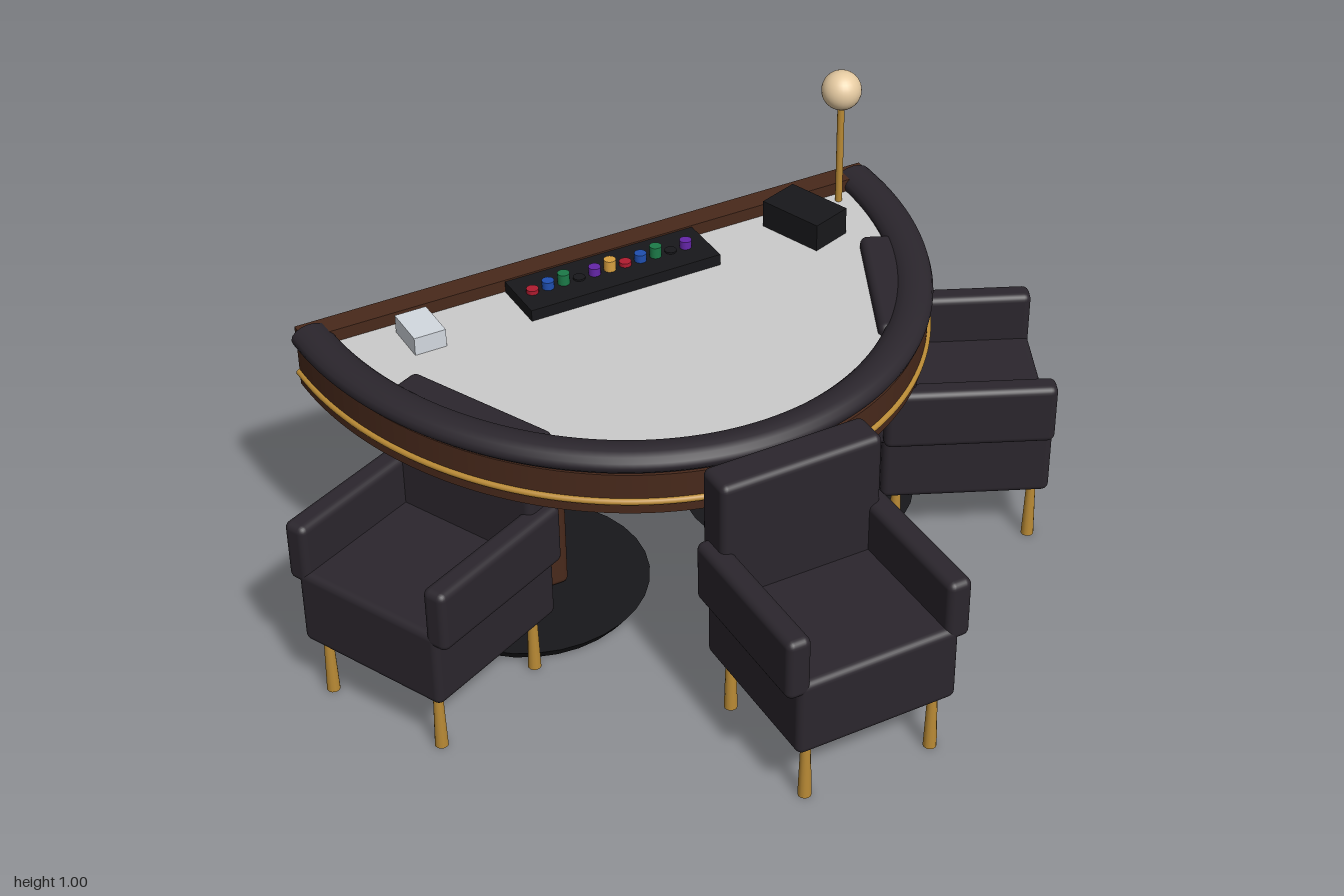
import * as THREE from 'three';
import { RoundedBoxGeometry } from 'three/addons/geometries/RoundedBoxGeometry.js';

const mat = (color) => new THREE.MeshStandardMaterial({ color });
const leather = mat(0x2b262d), wood = mat(0x48291b), gold = mat(0xb98a35);
const black = mat(0x18181b), grey = mat(0xcccccc);
const BACK = -0.67; // z of the table's straight edge

function add(parent, name, geometry, material, x = 0, y = 0, z = 0) {
  const mesh = new THREE.Mesh(geometry, material);
  mesh.name = name;
  mesh.position.set(x, y, z);
  parent.add(mesh);
  return mesh;
}

const padded = (w, h, d, r = 0.018) => new RoundedBoxGeometry(w, h, d, 3, r);

// Half-ellipse slab whose top lies at y = 0
function halfSlab(a, b, depth) {
  const shape = new THREE.Shape();
  shape.absellipse(0, BACK, a, b, 0, Math.PI, false);
  shape.closePath();
  return new THREE.ExtrudeGeometry(shape, { depth, bevelEnabled: false, curveSegments: 72 }).rotateX(Math.PI / 2);
}

// Tube following the curved edge of the table, squashed vertically
function edgeTube(a, b, radius, squash) {
  const points = [];
  for (let i = 0; i <= 32; i++) {
    const t = (i / 32) * Math.PI;
    points.push(new THREE.Vector3(a * Math.cos(t), 0, BACK + b * Math.sin(t)));
  }
  const path = new THREE.CatmullRomCurve3(points);
  return new THREE.TubeGeometry(path, 96, radius, 16).scale(1, squash, 1);
}

function makeTable() {
  const table = new THREE.Group();
  table.name = 'table';
  add(table, 'apron', halfSlab(0.778, 0.915, 0.105), wood, 0, 0.625, 0);
  add(table, 'playingSurface', halfSlab(0.712, 0.825, 0.01), grey, 0, 0.635, 0);
  add(table, 'goldTrim', edgeTube(0.778, 0.915, 0.009, 0.9), gold, 0, 0.553, 0);

  // Padded arm rail with closed ends
  add(table, 'armRail', edgeTube(0.744, 0.873, 0.047, 0.64), leather, 0, 0.646, 0);
  for (const s of [-1, 1]) {
    const cap = new THREE.CircleGeometry(0.047, 16).rotateY(Math.PI).scale(1, 0.64, 1);
    add(table, 'railEnd', cap, leather, s * 0.744, 0.646, BACK);
  }
  add(table, 'backBoard', new THREE.BoxGeometry(1.545, 0.05, 0.06), wood, 0, 0.642, -0.66);

  // Two pedestals on round bases
  for (const s of [-1, 1]) {
    add(table, 'pedestal', padded(0.148, 0.495, 0.15, 0.016), wood, s * 0.378, 0.283, -0.31);
    add(table, 'pedestalBase', new THREE.CylinderGeometry(0.295, 0.268, 0.035, 32), black, s * 0.378, 0.0175, -0.31);
  }
  return table;
}

function makeTableItems() {
  const items = new THREE.Group();
  items.name = 'tableItems';
  add(items, 'chipTray', new THREE.BoxGeometry(0.51, 0.033, 0.145), black, -0.003, 0.648, -0.555);

  // Row of chip stacks, five colours repeating with a gold one mid-row
  const red = mat(0xb01c30), blue = mat(0x1f4fb0), green = mat(0x1c7a48), purple = mat(0x6526a8);
  const yellow = mat(0xd8a040);
  const stacks = [red, blue, green, black, purple, yellow, red, blue, green, black, purple];
  const heights = [0.675, 0.685, 0.693, 0.669, 0.685, 0.693, 0.675, 0.685, 0.693, 0.669, 0.685];
  stacks.forEach((m, i) => {
    const h = heights[i] - 0.655;
    add(items, 'chipStack', new THREE.CylinderGeometry(0.015, 0.015, h, 16), m, -0.22 + i * 0.0415, 0.655 + h / 2, -0.555);
  });

  const shoe = add(items, 'cardDispenser', new THREE.BoxGeometry(0.112, 0.075, 0.175), black, 0.513, 0.669, -0.523);
  shoe.rotation.y = 0.33;
  add(items, 'discardBox', new THREE.BoxGeometry(0.08, 0.047, 0.112), mat(0xd3d9e0), -0.517, 0.658, -0.542);

  // Globe lamp
  add(items, 'lampPole', new THREE.CylinderGeometry(0.009, 0.009, 0.29, 14), gold, 0.66, 0.775, -0.602);
  add(items, 'lampGlobe', new THREE.SphereGeometry(0.05, 28, 18), mat(0xe6cba2), 0.66, 0.95, -0.602);
  return items;
}

// Armchair facing +z, centred on its footprint
function makeChair(name, x, z, turn) {
  const chair = new THREE.Group();
  chair.name = name;
  chair.position.set(x, 0, z);
  chair.rotation.y = turn;
  add(chair, 'seat', padded(0.41, 0.2, 0.415), leather, 0, 0.255, 0.0125);
  add(chair, 'backrest', padded(0.41, 0.345, 0.098), leather, 0, 0.49, -0.166);
  for (const s of [-1, 1]) {
    add(chair, 'armrest', padded(0.06, 0.158, 0.415), leather, s * 0.203, 0.402, 0.0125);
    for (const lz of [-0.152, 0.183]) {
      add(chair, 'chairLeg', new THREE.CylinderGeometry(0.011, 0.016, 0.165, 12), gold, s * 0.165, 0.0825, lz);
    }
  }
  return chair;
}

export function createModel() {
  const model = new THREE.Group();
  model.name = 'cardTableSet';
  model.add(makeTable(), makeTableItems());
  model.add(makeChair('frontChair', 0, 0.465, 0));
  const turn = THREE.MathUtils.degToRad(65);
  model.add(makeChair('rightChair', -0.705, -0.122, -turn));
  model.add(makeChair('leftChair', 0.705, -0.122, turn));
  return model;
}
